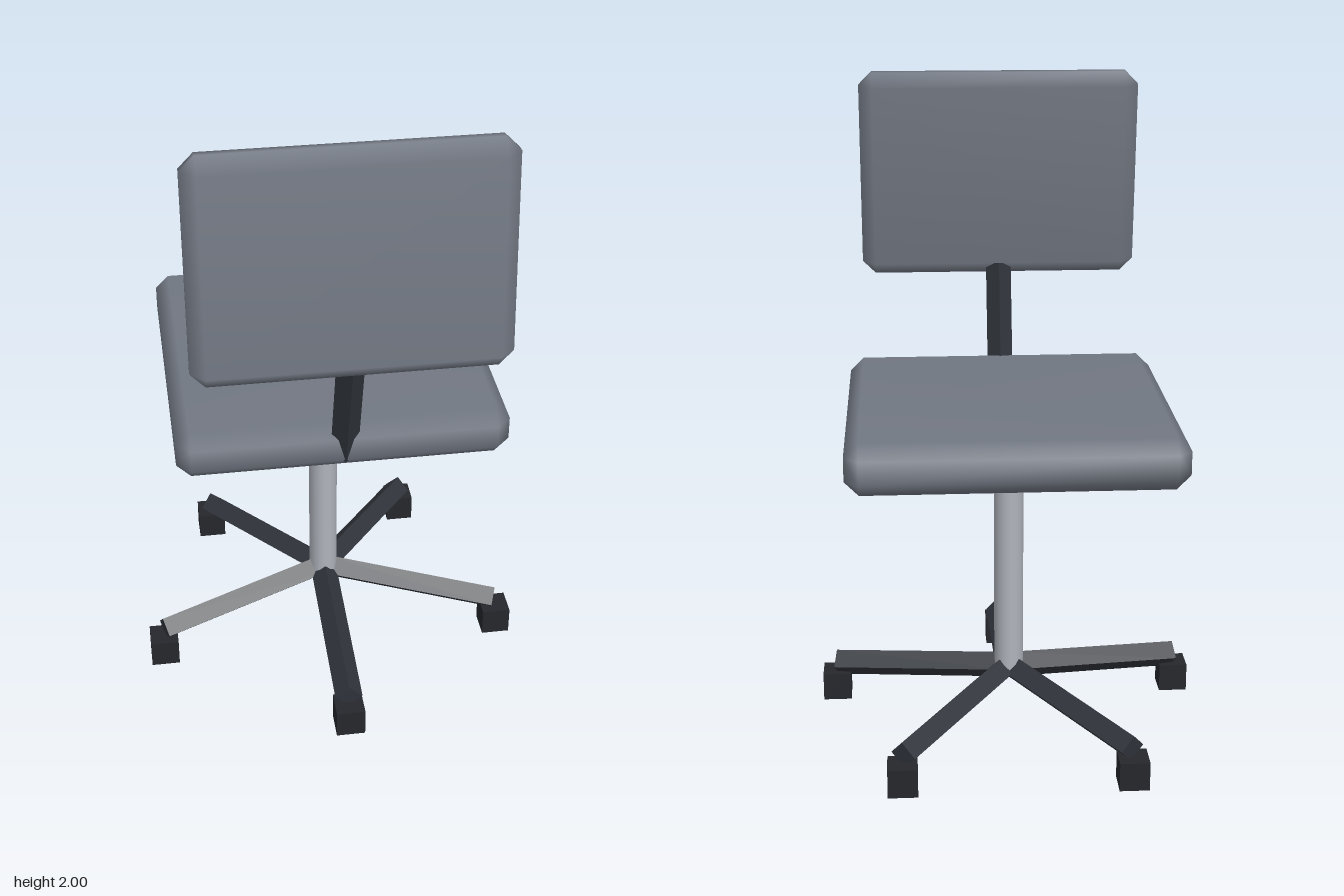
import * as THREE from 'three';
import { ConvexGeometry } from 'three/addons/geometries/ConvexGeometry.js';
import { mergeVertices } from 'three/addons/utils/BufferGeometryUtils.js';

const paint = (color, flatShading = false) => {
  const m = new THREE.MeshStandardMaterial({ flatShading });
  m.color.set(color);
  return m;
};

// Box with one chamfer on every edge and smooth normals
function cushionGeometry(w, h, d, bevel) {
  const half = [w / 2, h / 2, d / 2];
  const points = [];
  for (const sx of [-1, 1]) for (const sy of [-1, 1]) for (const sz of [-1, 1])
    for (let axis = 0; axis < 3; axis++) {
      const c = [sx, sy, sz].map((s, i) => s * (half[i] - (i === axis ? 0 : bevel)));
      points.push(new THREE.Vector3(...c));
    }
  const geometry = new ConvexGeometry(points);
  geometry.deleteAttribute('normal');
  const merged = mergeVertices(geometry, 1e-4);
  merged.computeVertexNormals();
  return merged;
}

// Four-sided bar between two points, with a ridge on top
function bar(from, to, radius, material) {
  const geometry = new THREE.CylinderGeometry(radius, radius, from.distanceTo(to), 4);
  geometry.rotateX(Math.PI / 2);
  const mesh = new THREE.Mesh(geometry, material);
  mesh.position.copy(from).add(to).multiplyScalar(0.5);
  mesh.lookAt(to);
  return mesh;
}

export function createModel() {
  const chair = new THREE.Group();
  chair.name = 'swivelChair';
  const fabric = paint(0x717782);
  const dark = paint(0x30343b, true);
  const black = paint(0x25272c, true);
  const metal = paint(0xb0b4bc);
  const add = (mesh, name) => {
    mesh.name = name;
    chair.add(mesh);
    return mesh;
  };

  // Seat and tilted backrest
  add(new THREE.Mesh(cushionGeometry(0.985, 0.155, 0.985, 0.042), fabric), 'seat')
    .position.set(0, 1.003, -0.067);
  const back = add(new THREE.Mesh(cushionGeometry(0.895, 0.665, 0.11, 0.042), fabric), 'backrest');
  back.position.set(0, 1.667, 0.497);
  back.rotation.x = -0.1;

  // Bar holding the backrest
  add(bar(new THREE.Vector3(0, 0.97, 0.387), new THREE.Vector3(0, 1.365, 0.497), 0.041, dark), 'backrestBar');

  // Central column
  const hubZ = -0.062;
  const column = add(new THREE.Mesh(new THREE.CylinderGeometry(1, 1, 0.77, 16), metal), 'column');
  column.scale.set(0.046, 1, 0.057);
  column.position.set(0, 0.565, hubZ);

  // Five legs, each with a square foot
  for (let i = 0; i < 5; i++) {
    const a = i * Math.PI * 2 / 5;
    const out = (r, y) => new THREE.Vector3(r * Math.sin(a), y, hubZ + r * Math.cos(a));
    add(bar(out(0, 0.175), out(0.58, 0.114), 0.043, dark), 'leg' + (i + 1));
    add(new THREE.Mesh(new THREE.BoxGeometry(0.09, 0.09, 0.09), black), 'foot' + (i + 1))
      .position.copy(out(0.584, 0.045));
  }
  return chair;
}
